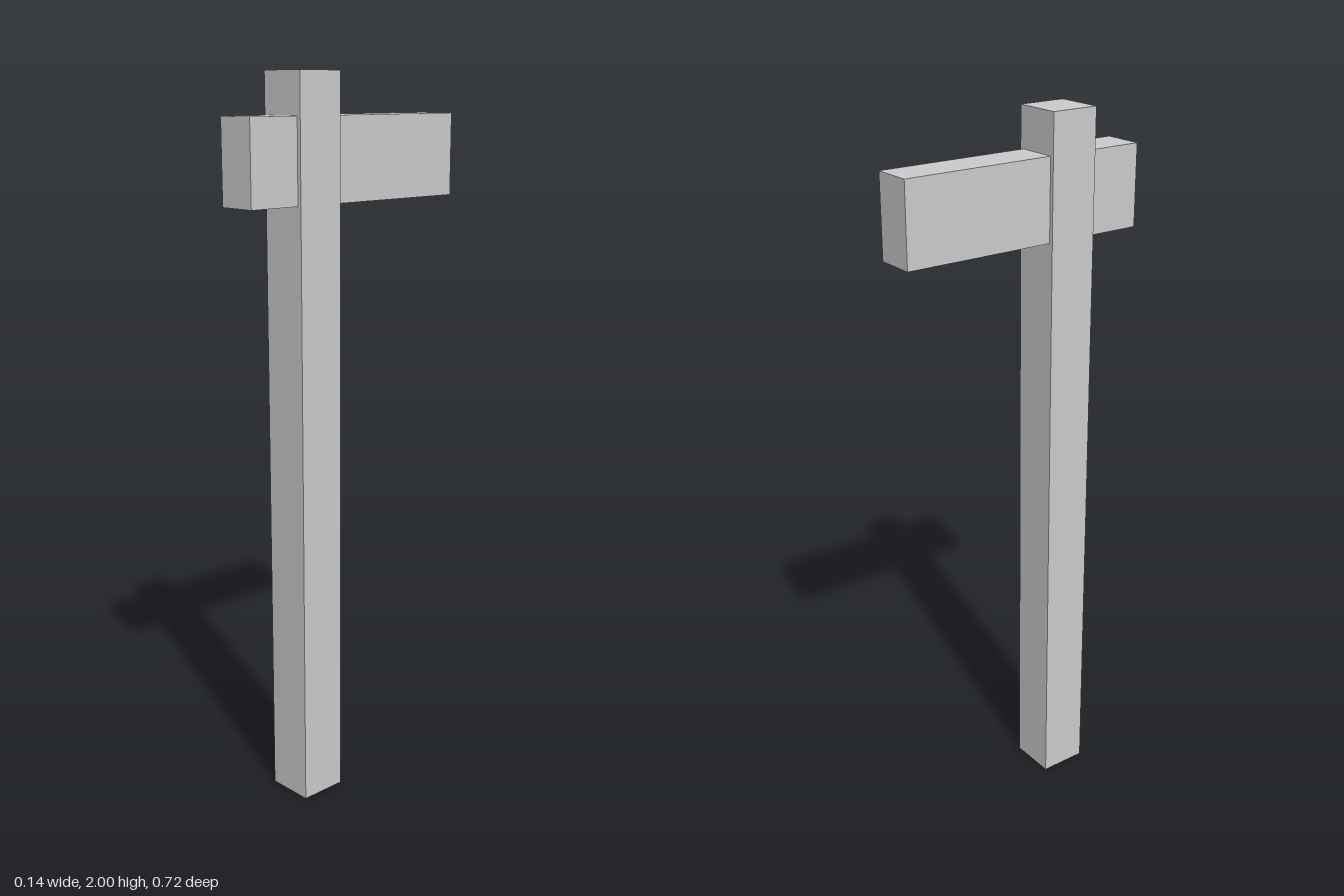
import * as THREE from 'three';

const material = new THREE.MeshStandardMaterial({ color: 0xcccccc, flatShading: true });

// Adds a named square-edged timber, given its size and centre.
function addTimber(group, name, size, centre) {
  const mesh = new THREE.Mesh(new THREE.BoxGeometry(...size), material);
  mesh.name = name;
  mesh.position.set(...centre);
  group.add(mesh);
}

export function createModel() {
  const group = new THREE.Group();
  group.name = 'postWithCrossbeam';

  // Upright post, set towards the front
  addTimber(group, 'post', [0.136, 2, 0.136], [0, 1, 0.14]);

  // Horizontal beam passing through the post, longer at the back
  addTimber(group, 'crossbeam', [0.113, 0.223, 0.72], [0, 1.778, 0]);

  return group;
}
